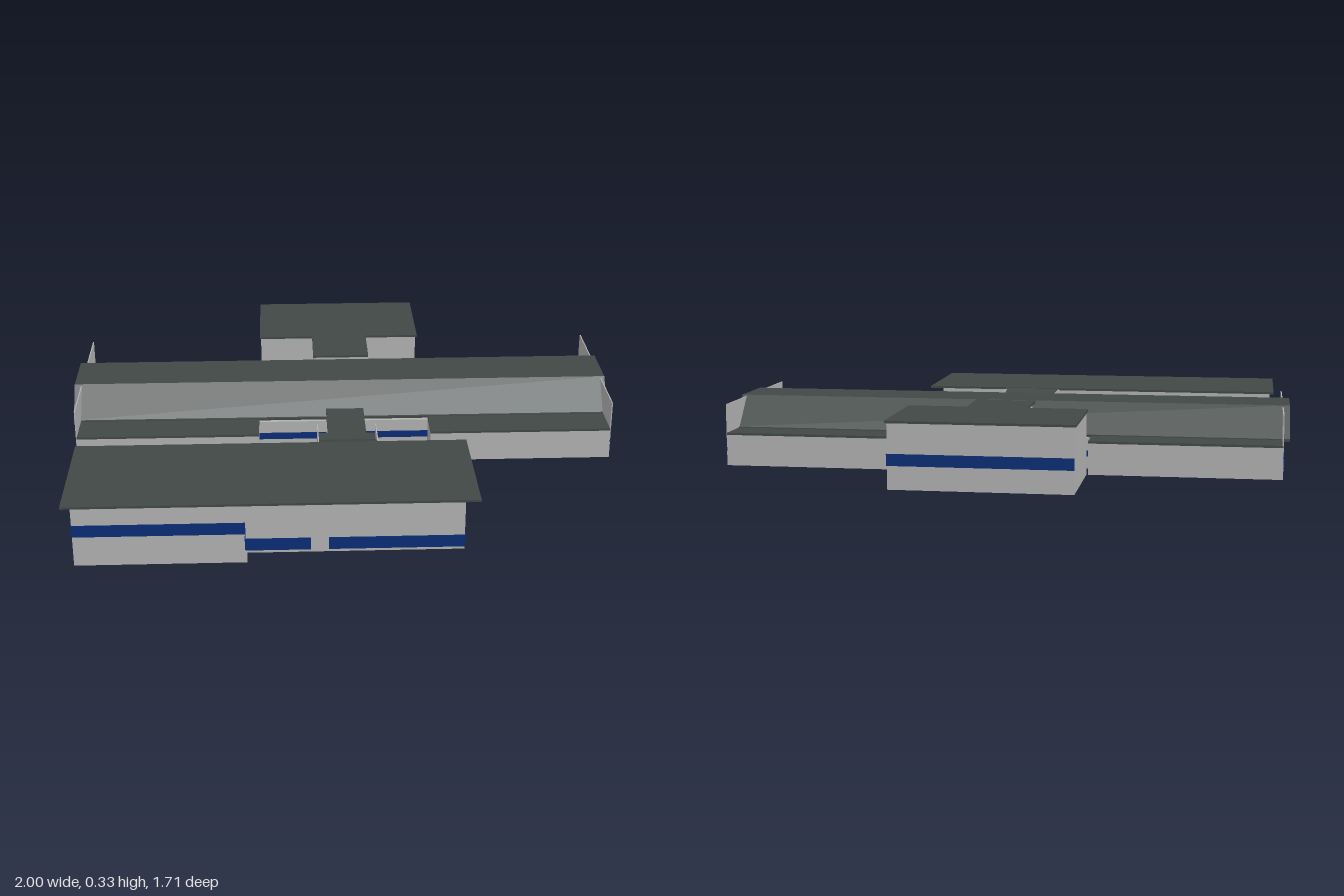
import * as THREE from 'three';

const wallMat = new THREE.MeshStandardMaterial({ color: 0xb2b2b2, side: THREE.DoubleSide });
wallMat.name = 'pale grey wall';
const roofMat = new THREE.MeshStandardMaterial({ color: 0x414846, side: THREE.DoubleSide });
roofMat.name = 'dark slate roof';
const blueMat = new THREE.MeshStandardMaterial({ color: 0x0a2d76 });
blueMat.name = 'blue stripe';

export function createModel() {
  const model = new THREE.Group();
  model.name = 'schoolBuilding';

  // Box given by its limits on each axis
  const box = (name, mat, x0, x1, y0, y1, z0, z1) => {
    const mesh = new THREE.Mesh(new THREE.BoxGeometry(x1 - x0, y1 - y0, z1 - z0), mat);
    mesh.position.set((x0 + x1) / 2, (y0 + y1) / 2, (z0 + z1) / 2);
    mesh.name = name;
    model.add(mesh);
    return mesh;
  };
  const T = 0.003;
  // Thin painted bands lying on walls that face x or z
  const bandZ = (z, x0, x1, y0, y1) => box('blueStripe', blueMat, x0, x1, y0, y1, z - T, z + T);
  const bandX = (x, z0, z1, y0, y1) => box('blueStripe', blueMat, x - T, x + T, y0, y1, z0, z1);

  // Roof sheet folded along a [z, y] profile and stretched along x
  const foldedRoof = (name, x0, x1, profile, t = 0.008) => {
    const upper = profile.map(([z, y]) => new THREE.Vector2(-z, y));
    const lower = profile.map(([z, y]) => new THREE.Vector2(-z, y - t)).reverse();
    const geo = new THREE.ExtrudeGeometry(new THREE.Shape([...upper, ...lower]),
      { depth: x1 - x0, bevelEnabled: false });
    geo.rotateY(Math.PI / 2);
    geo.translate(x0, 0, 0);
    const mesh = new THREE.Mesh(geo, roofMat);
    mesh.name = name;
    model.add(mesh);
  };

  // Long hall: a narrow middle with a wider wing at each end
  box('hallMiddle', wallMat, -0.31, 0.32, 0.1, 0.21, -0.37, 0.06);
  for (const [x0, x1] of [[-0.975, -0.31], [0.32, 0.985]]) {
    box('hallWing', wallMat, x0, x1, 0.1, 0.212, -0.488, 0.182);
    box('wingRoofFront', roofMat, x0, x1, 0.21, 0.218, 0.04, 0.185);
    box('wingRoofBack', roofMat, x0, x1, 0.21, 0.218, -0.49, -0.355);
  }
  foldedRoof('hallRoof', -1, 1,
    [[0.05, 0.22], [0.04, 0.22], [-0.055, 0.325], [-0.26, 0.325], [-0.355, 0.22], [-0.365, 0.22]]);

  // Tall rectangular end walls of the hall
  for (const x of [-0.975, 0.985]) {
    box('hallEndWall', wallMat, x - 0.002, x + 0.002, 0.1, 0.32, -0.488, 0.182);
  }
  bandX(0.987, -0.488, 0.182, 0.15, 0.168);
  bandX(-0.977, -0.488, 0.182, 0.125, 0.185);
  for (const [x0, x1] of [[-0.31, -0.06], [0.08, 0.32]]) bandZ(0.06, x0, x1, 0.14, 0.165);
  for (const [x0, x1] of [[-0.31, -0.1], [0.115, 0.32]]) bandZ(-0.37, x0, x1, 0.145, 0.165);

  // Rear block with its link to the hall
  box('rearBlock', wallMat, -0.305, 0.315, 0.1, 0.322, -0.855, -0.49);
  box('rearBlockRoof', roofMat, -0.31, 0.322, 0.322, 0.33, -0.86, -0.488);
  box('rearLink', wallMat, -0.095, 0.11, 0.1, 0.322, -0.49, -0.34);
  foldedRoof('rearLinkRoof', -0.1, 0.115, [[-0.29, 0.328], [-0.35, 0.33], [-0.49, 0.33]]);
  bandZ(-0.855, -0.305, 0.315, 0.18, 0.22);
  bandX(0.315, -0.855, -0.565, 0.18, 0.22);
  bandX(0.315, -0.565, -0.49, 0.145, 0.165);
  for (const x of [-0.095, 0.11]) bandX(x, -0.49, -0.37, 0.145, 0.165);

  // Front block: a deep part and a shallower side part under one flat roof
  box('frontBlock', wallMat, -0.35, 0.375, 0.1, 0.279, 0.4, 0.845);
  box('frontBlockSide', wallMat, -0.935, -0.35, 0.1, 0.279, 0.47, 0.735);
  box('frontBlockRoof', roofMat, -0.95, 0.425, 0.278, 0.286, 0.398, 0.853);
  bandZ(0.845, -0.35, -0.135, 0.11, 0.153);
  bandZ(0.845, -0.075, 0.375, 0.11, 0.153);
  bandZ(0.735, -0.935, -0.35, 0.11, 0.153);
  bandZ(0.47, -0.935, -0.35, 0.11, 0.153);
  bandX(-0.935, 0.47, 0.735, 0.11, 0.153);
  bandX(0.375, 0.4, 0.845, 0.11, 0.153);
  bandX(-0.35, 0.735, 0.845, 0.11, 0.153);
  bandZ(0.4, -0.35, -0.1, 0.11, 0.153);
  bandZ(0.4, 0.115, 0.375, 0.11, 0.153);

  // Open-bottomed basement walls below the side part
  for (const z of [0.472, 0.733]) {
    box('basementWall', wallMat, -0.935, -0.35, 0, 0.1, z - 0.002, z + 0.002);
  }
  for (const x of [-0.933, -0.352]) {
    box('basementEndWall', wallMat, x - 0.002, x + 0.002, 0, 0.1, 0.47, 0.735);
  }
  // Walls hanging below the back edge of the front block
  for (const [x0, x1] of [[-0.35, -0.1], [0.12, 0.372]]) {
    box('hangingWall', wallMat, x0, x1, 0, 0.1, 0.401, 0.406);
  }
  box('blueStripe', blueMat, 0.12, 0.372, 0.07, 0.098, 0.4, 0.4085);

  // Front link: a wide part next to the block, then a narrow passage to the hall
  box('frontLink', wallMat, -0.095, 0.11, 0.1, 0.238, 0.235, 0.4);
  for (const x of [-0.097, 0.113]) {
    box('frontLinkSideWall', wallMat, x - 0.002, x + 0.002, 0.1, 0.28, 0.238, 0.4);
    bandX(x, 0.238, 0.4, 0.102, 0.176);
  }
  foldedRoof('frontLinkRoof', -0.095, 0.111,
    [[0.4, 0.285], [0.33, 0.26], [0.29, 0.243], [0.235, 0.243]]);
  box('passage', wallMat, -0.055, 0.075, 0.095, 0.235, 0.03, 0.238);
  box('passageRoof', roofMat, -0.06, 0.08, 0.234, 0.242, 0.02, 0.24);
  for (const x of [-0.055, 0.075]) {
    bandX(x, 0.18, 0.238, 0.1, 0.157);
    bandX(x, 0.04, 0.238, 0.09, 0.105);
  }
  return model;
}
